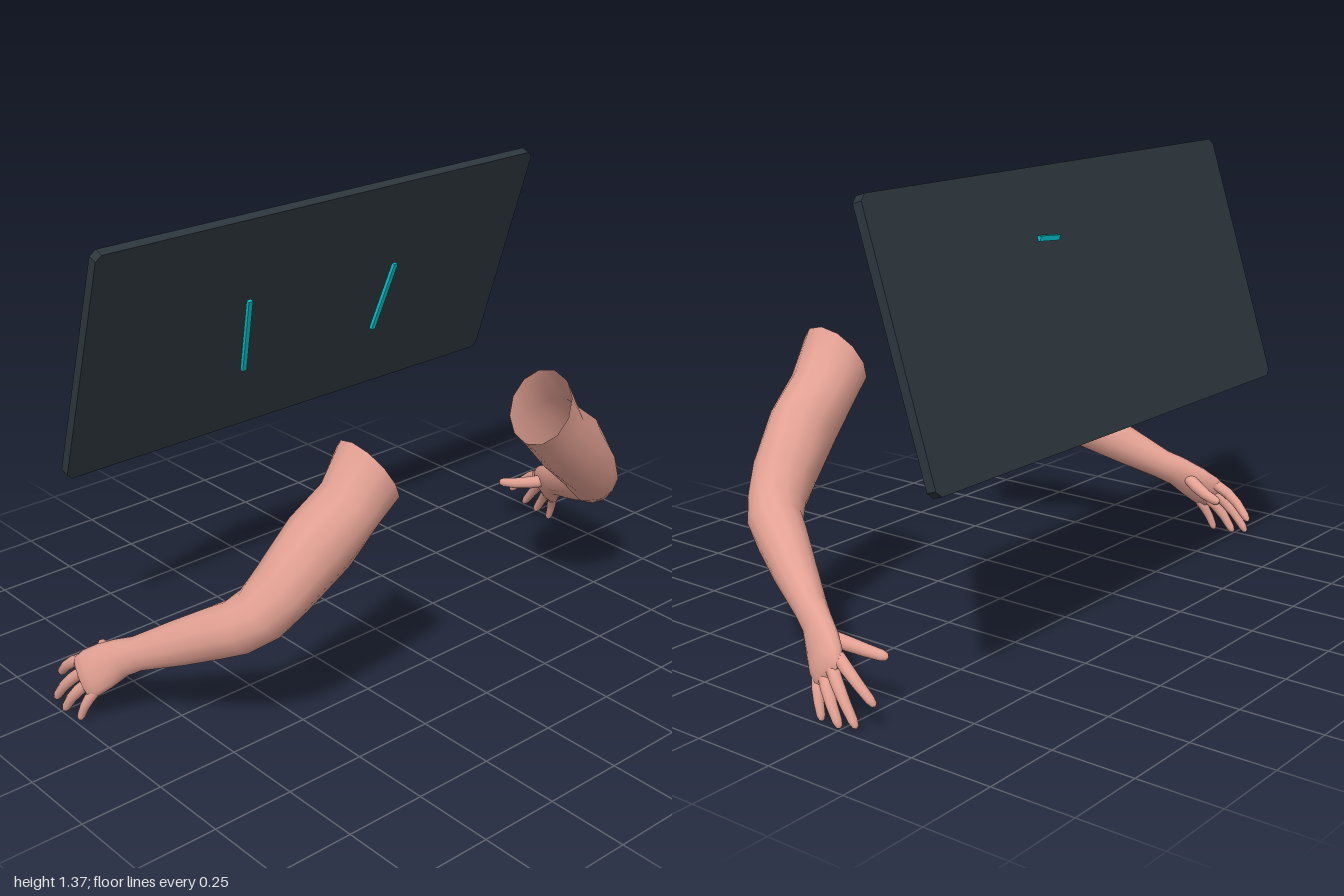
import * as THREE from 'three';

const SIDES = 12;

// Skin tube through rings [x, y, z, sideRadius, upRadius, upHintZ]; s = -1 mirrors it across x.
function loft(rings, s, firstTangent) {
  const pts = rings.map(r => new THREE.Vector3(r[0], r[1], r[2]));
  const pos = [], idx = [];
  rings.forEach((r, i) => {
    const t = pts[Math.min(i + 1, pts.length - 1)].clone().sub(pts[Math.max(i - 1, 0)]);
    if (i === 0 && firstTangent) t.copy(firstTangent);
    t.normalize();
    const e1 = t.clone().cross(new THREE.Vector3(0, 1, r[5] || 0)).normalize();
    const e2 = e1.clone().cross(t);
    for (let j = 0; j < SIDES; j++) {
      const a = j / SIDES * Math.PI * 2;
      const p = pts[i].clone().addScaledVector(e1, Math.cos(a) * r[3]).addScaledVector(e2, Math.sin(a) * r[4]);
      pos.push(p.x * s, p.y, p.z);
      if (i === rings.length - 1) continue;
      const k = i * SIDES, n = (j + 1) % SIDES;
      const A = k + j, B = k + n, C = A + SIDES, D = B + SIDES;
      if (s > 0) idx.push(A, C, B, B, C, D);
      else idx.push(A, B, C, B, D, C);
    }
  });
  const g = new THREE.BufferGeometry();
  g.setAttribute('position', new THREE.Float32BufferAttribute(pos, 3));
  g.setIndex(idx);
  g.computeVertexNormals();
  return g;
}

// Tapered, slightly bent finger with a rounded tip
function fingerRings(a, b, r, bend) {
  const steps = [[0, 1], [0.3, 1], [0.6, 0.88], [0.88, 0.75], [0.97, 0.5], [1, 0.05]];
  return steps.map(([f, k]) => [
    a[0] + (b[0] - a[0]) * f + bend * Math.sin(f * Math.PI),
    a[1] + (b[1] - a[1]) * f + bend * Math.sin(f * Math.PI),
    a[2] + (b[2] - a[2]) * f, r * k, r * k, -1]);
}

// Shoulder opening to knuckles
const ARM = [
  [0.34, 0.79, 0.355, 0.113, 0.117, 0],
  [0.40, 0.71, 0.35, 0.103, 0.096, 0],
  [0.50, 0.62, 0.337, 0.100, 0.110, 0],
  [0.61, 0.505, 0.31, 0.094, 0.092, 0],
  [0.67, 0.44, 0.285, 0.085, 0.085, 0],
  [0.715, 0.40, 0.245, 0.079, 0.080, 0],
  [0.745, 0.37, 0.19, 0.074, 0.076, 0],
  [0.80, 0.315, 0.09, 0.062, 0.067, -0.05],
  [0.862, 0.25, -0.03, 0.044, 0.052, -0.2],
  [0.89, 0.225, -0.08, 0.037, 0.055, -0.6],
  [0.92, 0.19, -0.125, 0.034, 0.066, -1],
  [0.945, 0.16, -0.16, 0.029, 0.070, -1.1],
  [0.96, 0.142, -0.183, 0.021, 0.064, -1.1],
  [0.966, 0.134, -0.192, 0.002, 0.045, -1.1],
];

// [name, base, tip, radius, bend]
const FINGERS = [
  ['littleFinger', [0.95, 0.115, -0.133], [0.983, 0.01, -0.178], 0.016, 0.006],
  ['ringFinger', [0.955, 0.13, -0.162], [0.99, 0.012, -0.248], 0.018, 0.008],
  ['middleFinger', [0.955, 0.155, -0.19], [0.985, 0.025, -0.302], 0.018, 0.008],
  ['indexFinger', [0.945, 0.185, -0.205], [0.945, 0.08, -0.332], 0.018, 0.01],
  ['thumb', [0.895, 0.205, -0.125], [0.834, 0.165, -0.28], 0.021, -0.006],
];

export function createModel() {
  const model = new THREE.Group();
  const skin = new THREE.MeshStandardMaterial({ color: 0xe3a193, side: THREE.DoubleSide });
  skin.name = 'skin';
  const slate = new THREE.MeshStandardMaterial({ color: 0x2d353d });
  slate.name = 'slate';
  const teal = new THREE.MeshStandardMaterial({ color: 0x00bcc4 });
  teal.name = 'teal';

  const add = (parent, geo, mat, name) => {
    const m = new THREE.Mesh(geo, mat);
    m.name = name;
    parent.add(m);
    return m;
  };

  // Arms with hands, mirrored
  for (const s of [1, -1]) {
    const arm = new THREE.Group();
    arm.name = s > 0 ? 'leftArm' : 'rightArm';
    add(arm, loft(ARM, s, new THREE.Vector3(0.87, -0.48, 0)), skin, 'armAndPalm');
    for (const [name, a, b, r, bend] of FINGERS) add(arm, loft(fingerRings(a, b, r, bend), s), skin, name);
    model.add(arm);
  }

  // Tilted panel with clipped corners
  const w = 0.832, h = 0.389, c = 0.018, d = 0.031;
  const outline = new THREE.Shape([
    [-w + c, -h], [w - c, -h], [w, -h + c], [w, h - c],
    [w - c, h], [-w + c, h], [-w, h - c], [-w, -h + c],
  ].map(p => new THREE.Vector2(...p)));
  const panelGeo = new THREE.ExtrudeGeometry(outline, { depth: d, bevelEnabled: false });
  panelGeo.translate(0, 0, -d / 2);
  const panel = add(model, panelGeo, slate, 'panel');
  panel.position.set(0.018, 1.005, -0.33);
  panel.rotation.x = 0.317;

  // Thin bars between two points
  const bar = (a, b, width, depth, name) => {
    const p = new THREE.Vector3(...a), q = new THREE.Vector3(...b);
    const dir = p.clone().sub(q);
    const m = add(model, new THREE.BoxGeometry(width, dir.length(), depth), teal, name);
    m.position.copy(p).add(q).multiplyScalar(0.5);
    m.quaternion.setFromUnitVectors(new THREE.Vector3(0, 1, 0), dir.normalize());
  };
  bar([-0.268, 1.105, -0.25], [-0.247, 0.862, -0.32], 0.015, 0.012, 'rightFrontBar');
  bar([0.303, 1.095, -0.25], [0.267, 0.87, -0.318], 0.015, 0.012, 'leftFrontBar');
  bar([0.11, 1.185, -0.292], [0.198, 1.192, -0.29], 0.015, 0.012, 'backBar');

  return model;
}
